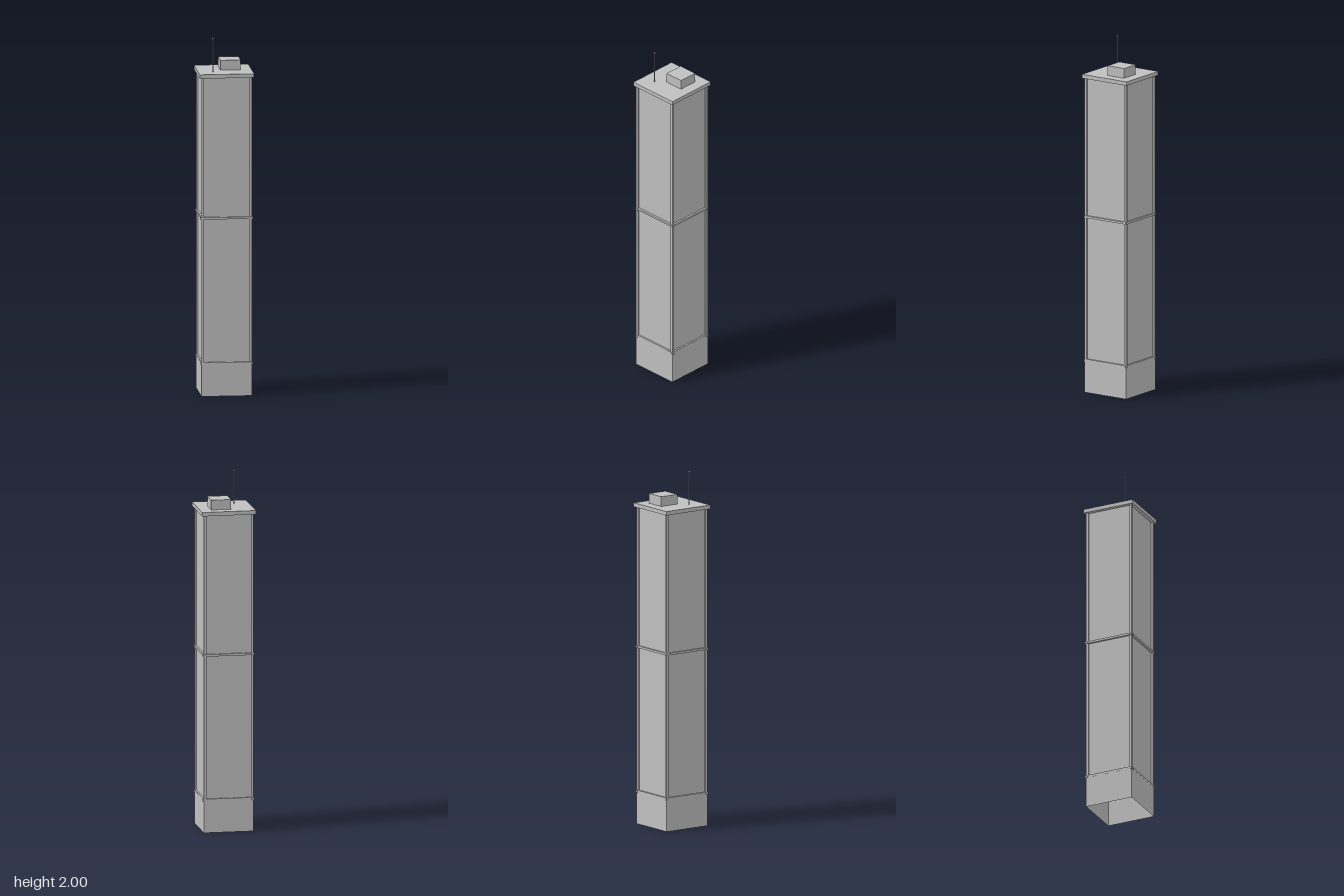
import * as THREE from 'three';

export function createModel() {
  const tower = new THREE.Group();
  tower.name = 'tower';
  const concrete = new THREE.MeshStandardMaterial({ color: 0xc0c0c0, side: THREE.DoubleSide });
  concrete.name = 'concrete grey';

  const HALF = 0.14, BASE_TOP = 0.19, SHAFT_TOP = 1.785, SLAB_TOP = 1.807;

  function add(name, geometry, x, y, z, parent = tower) {
    const mesh = new THREE.Mesh(geometry, concrete);
    mesh.name = name;
    mesh.position.set(x, y, z);
    parent.add(mesh);
    return mesh;
  }
  // Box given by its size, x/z centre and bottom and top heights
  function block(name, w, d, x, z, y0, y1, parent) {
    return add(name, new THREE.BoxGeometry(w, y1 - y0, d), x, (y0 + y1) / 2, z, parent);
  }

  // Hollow base, open at the bottom
  const base = new THREE.Group();
  base.name = 'base';
  tower.add(base);
  for (let i = 0; i < 4; i++) {
    const a = i * Math.PI / 2;
    const wall = add('baseWall', new THREE.PlaneGeometry(2 * HALF, BASE_TOP),
      Math.sin(a) * HALF, BASE_TOP / 2, Math.cos(a) * HALF, base);
    wall.rotation.y = a;
  }
  const lid = add('baseTop', new THREE.PlaneGeometry(2 * HALF, 2 * HALF), 0, BASE_TOP, 0, base);
  lid.rotation.x = -Math.PI / 2;

  // Recessed shaft with a pier at each corner
  block('shaft', 0.26, 0.26, 0, 0, BASE_TOP, SHAFT_TOP);
  for (const sx of [-1, 1]) {
    for (const sz of [-1, 1]) {
      block('cornerPier', 0.014, 0.014, sx * 0.133, sz * 0.133, BASE_TOP, SHAFT_TOP);
    }
  }

  // Horizontal bands whose ends poke out slightly past the corners
  for (const y of [0.182, 0.998]) {
    for (let i = 0; i < 4; i++) {
      const side = new THREE.Group();
      side.name = 'band';
      side.rotation.y = i * Math.PI / 2;
      tower.add(side);
      block('bandBeam', 0.29, 0.012, 0, 0.1345, y - 0.006, y + 0.006, side);
    }
  }

  // Roof slab, plant room and antenna
  block('roofSlab', 0.302, 0.302, 0, 0, SHAFT_TOP, SLAB_TOP);
  block('plantRoom', 0.112, 0.112, 0.034, -0.035, SLAB_TOP, 1.862);
  add('antennaMast', new THREE.CylinderGeometry(0.003, 0.003, 1.992 - SLAB_TOP, 6),
    -0.069, (1.992 + SLAB_TOP) / 2, 0.067);
  add('antennaTip', new THREE.OctahedronGeometry(0.008), -0.069, 1.992, 0.067);

  return tower;
}
